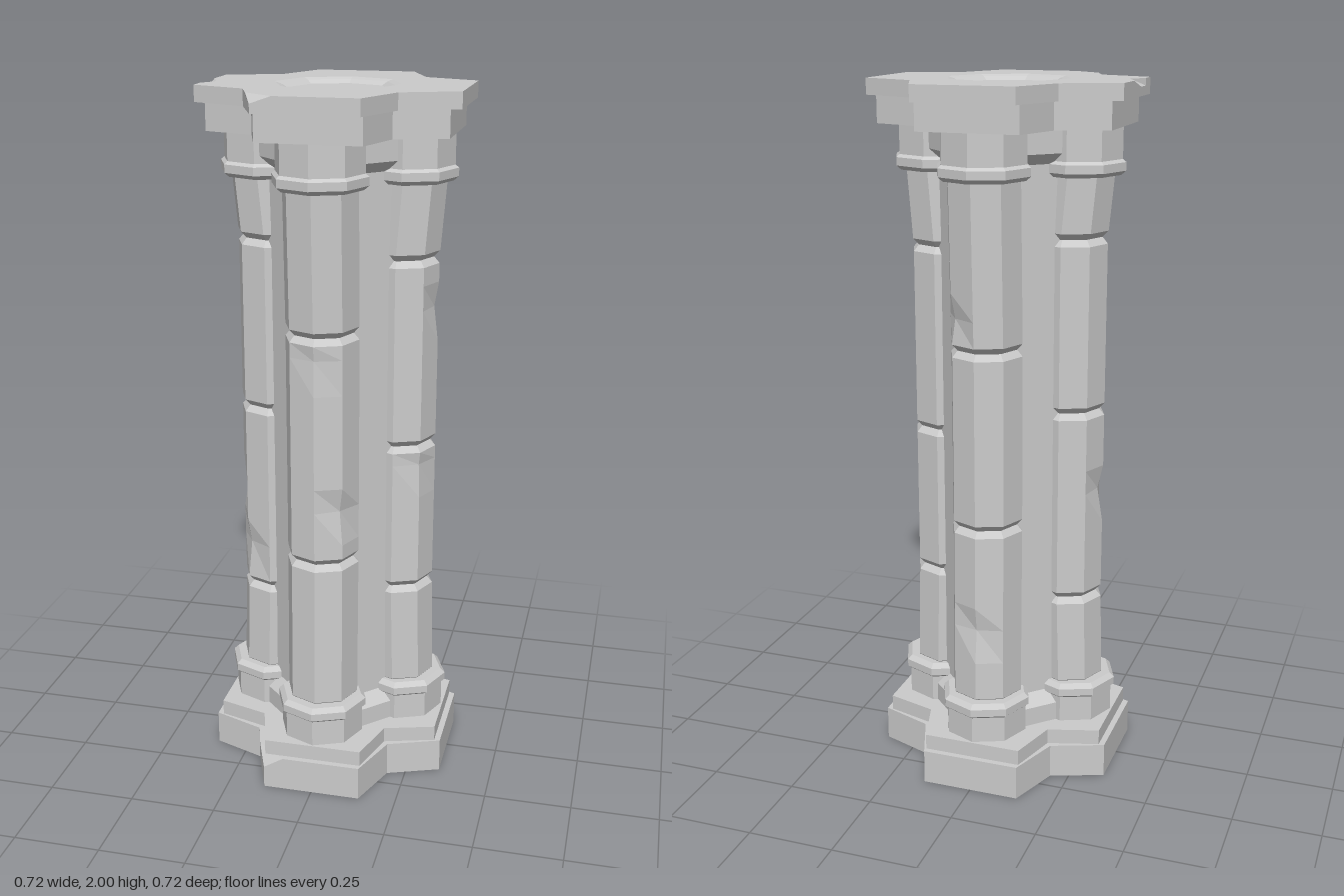
import * as THREE from 'three';

const stone = new THREE.MeshStandardMaterial({ color: 0xcccccc, flatShading: true });

function add(parent, name, geometry) {
  const mesh = new THREE.Mesh(geometry, stone);
  mesh.name = name;
  parent.add(mesh);
  return mesh;
}

// Eight-sided turned form from [radius, y] pairs; corners lie on the axes
function turned(profile) {
  return new THREE.LatheGeometry(profile.map(([r, y]) => new THREE.Vector2(r, y)), 8);
}

// Cross-shaped outline with four lobes. Each corner has a top and a bottom
// [x, z] position, so that a chip can slope from the top face to the full corner.
function crossOutline(half, valley, { corner, notch }) {
  const points = [];
  for (let k = 0; k < 4; k++) {
    const a = k * Math.PI / 2, c = Math.cos(a), s = Math.sin(a);
    const turn = ([x, z]) => [x * c + z * s, z * c - x * s];
    const put = (top, bottom = top) => points.push({ top: turn(top), bottom: turn(bottom) });
    if (corner === k) {
      put([-0.172, half - 0.067], [-0.142, half]);
      put([-0.085, half], [-0.142, half]);
    } else put([-0.142, half]);
    if (notch === k) {
      put([-0.04, half]);
      put([0.04, half - 0.03], [0.04, half]);
      put([0.09, half]);
    }
    put([0.142, half]);
    put([valley, valley]);
  }
  return points;
}

// Cross-shaped slab; chips name the lobe with a broken corner or edge
function slab(y0, y1, half, valley, chips = {}, holeRadius = 0) {
  const outline = crossOutline(half, valley, chips);
  const shape = new THREE.Shape(outline.map(({ top: [x, z] }) => new THREE.Vector2(x, -z)));
  if (holeRadius) {
    const hole = [];
    for (let i = 0; i < 8; i++) {
      const a = -i * Math.PI / 4;
      hole.push(new THREE.Vector2(Math.sin(a) * holeRadius, Math.cos(a) * holeRadius));
    }
    shape.holes.push(new THREE.Path(hole));
  }
  const geo = new THREE.ExtrudeGeometry(shape, { depth: y1 - y0, bevelEnabled: false });
  geo.rotateX(-Math.PI / 2);
  // Slide the lower corners to their bottom position
  const pos = geo.attributes.position;
  for (let i = 0; i < pos.count; i++) {
    const x = pos.getX(i), y = pos.getY(i), z = pos.getZ(i);
    const p = outline.find((q) => Math.hypot(q.top[0] - x, q.top[1] - z) < 1e-4);
    if (p && y < (y1 - y0) / 2) pos.setXYZ(i, p.bottom[0], y, p.bottom[1]);
  }
  geo.translate(0, y0, 0);
  geo.computeVertexNormals();
  return geo;
}

// One block of a shaft, bevelled at its ends, leaning outward by lean0 and lean1
// at its ends and worn in at the chips [y, corner, depth]
function shaftBlock(y0, y1, lean0, lean1, chips) {
  const r = 0.104, bevel = 0.018, inset = 0.016;
  const rows = [y0 + bevel, y1 - bevel];
  const mine = chips.filter(([y]) => y > y0 && y < y1);
  for (const [y] of mine) {
    for (const d of [-0.1, 0, 0.07]) {
      if (y + d > y0 + 0.03 && y + d < y1 - 0.03) rows.push(y + d);
    }
  }
  rows.sort((a, b) => a - b);
  const geo = turned([[0, y0], [r - inset, y0], ...rows.map((y) => [r, y]), [r - inset, y1], [0, y1]]);
  const pos = geo.attributes.position;
  for (let i = 0; i < pos.count; i++) {
    const x = pos.getX(i), y = pos.getY(i), z = pos.getZ(i);
    const corner = (Math.round(Math.atan2(x, z) / (Math.PI / 4)) + 8) % 8;
    const chip = mine.find(([cy, cc]) => cc === corner && Math.abs(y - cy) < 0.001);
    const k = chip ? 1 - chip[2] / r : 1;
    const lean = lean0 + (lean1 - lean0) * (y - y0) / (y1 - y0);
    pos.setXYZ(i, x * k, y, z * k + lean);
  }
  geo.computeVertexNormals();
  return geo;
}

export function createModel() {
  const model = new THREE.Group();
  model.name = 'clusteredPillar';

  // Stepped base, with one broken corner
  add(model, 'plinth', slab(0, 0.065, 0.347, 0.198));
  add(model, 'plinthRim', slab(0.065, 0.1, 0.347, 0.198, { corner: 0 }));
  add(model, 'plinthStep', slab(0.1, 0.145, 0.33, 0.185));

  // Central core, flat between the columns, widened at foot and head
  add(model, 'core', turned([
    [0.234, 0.14], [0.234, 0.2], [0.2, 0.235], [0.2, 1.785], [0.234, 1.815], [0.234, 1.89],
  ]).rotateY(Math.PI / 8));

  // Four attached columns, each with its own joints and wear
  const columns = [
    { name: 'frontColumn', joints: [0.7, 1.36], chips: [[1.3, 0, 0.006], [0.86, 1, 0.014]] },
    { name: 'leftColumn', joints: [0.57, 1.005, 1.54], chips: [[1.4, 0, 0.012], [0.95, 7, 0.006]] },
    { name: 'backColumn', joints: [0.78, 1.29], chips: [[1.38, 7, 0.012], [0.48, 0, 0.013]] },
    { name: 'rightColumn', joints: [0.53, 1.09, 1.58], chips: [[0.85, 0, 0.016], [0.66, 1, 0.012]] },
  ];
  columns.forEach(({ name, joints, chips }, k) => {
    const column = new THREE.Group();
    column.name = name;
    column.rotation.y = k * Math.PI / 2;
    model.add(column);

    const levels = [0.25, ...joints, 1.77];
    for (let i = 0; i < levels.length - 1; i++) {
      const foot = i === 0 ? 0.008 : 0, head = i === levels.length - 2 ? 0.018 : 0;
      add(column, 'shaftBlock', shaftBlock(levels[i], levels[i + 1], foot, head, chips)).position.z = 0.184;
    }
    // Thin neck that closes the joints
    add(column, 'shaftCore', turned([[0.086, 0.25], [0.086, 1.77]])).position.z = 0.184;

    // Foot and head mouldings
    add(column, 'footMoulding', turned([
      [0.122, 0.14], [0.122, 0.222], [0.132, 0.23], [0.132, 0.252], [0.118, 0.265], [0, 0.265],
    ])).position.z = 0.203;
    add(column, 'headMoulding', turned([
      [0, 1.75], [0.118, 1.75], [0.132, 1.762], [0.132, 1.785], [0.122, 1.793], [0.122, 1.885],
    ])).position.z = 0.203;
  });

  // Capital, its upper rim broken at one corner and one edge
  add(model, 'capitalStep', slab(1.88, 1.955, 0.33, 0.188));
  add(model, 'capitalTop', slab(1.955, 1.98, 0.36, 0.205));
  add(model, 'capitalRim', slab(1.98, 2, 0.36, 0.205, { corner: 0, notch: 3 }, 0.177));

  // Shallow recess in the top
  add(model, 'topRecess', turned([[0.177, 2], [0.16, 1.995], [0.142, 1.985], [0, 1.985]]));

  return model;
}
